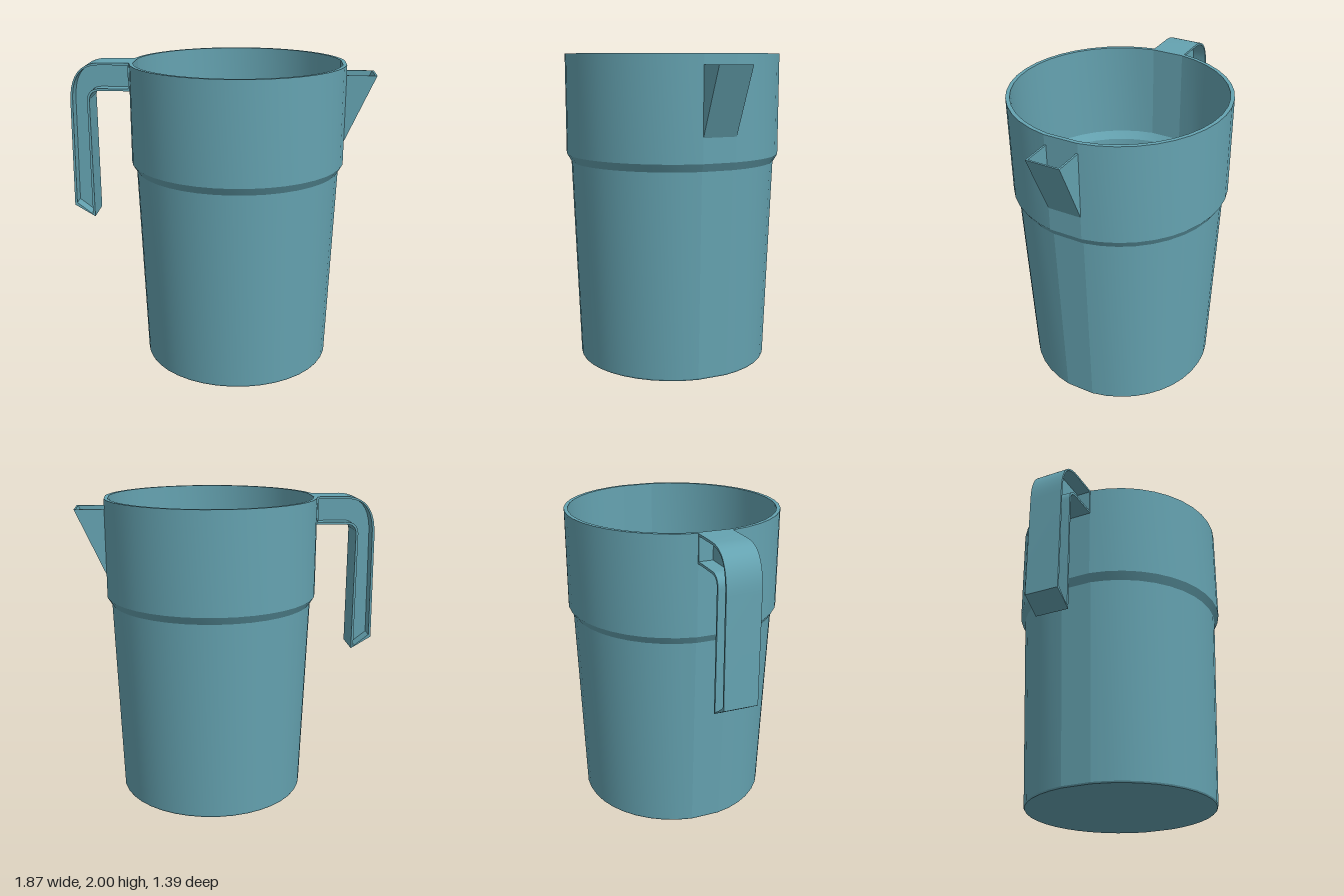
import * as THREE from 'three';
import { toCreasedNormals } from 'three/addons/utils/BufferGeometryUtils.js';

const WIDTH = 0.22; // width of handle and spout
const SEGMENTS = 40;

const teal = new THREE.MeshStandardMaterial({ color: 0x65a3b1 });
const tealThin = new THREE.MeshStandardMaterial({ color: 0x65a3b1, side: THREE.DoubleSide });
const yellow = new THREE.MeshStandardMaterial({ color: 0xd9a60f });

function add(parent, name, geometry, material) {
  const mesh = new THREE.Mesh(geometry, material);
  mesh.name = name;
  parent.add(mesh);
  return mesh;
}

// Turned body, flattened to a wide panel where the handle and spout join it
function turned(profile, crease) {
  const points = profile.map(([r, y]) => new THREE.Vector2(r, y));
  const geometry = new THREE.LatheGeometry(points, SEGMENTS);
  const p = geometry.attributes.position;
  const flat = Math.cos((2 * Math.PI) / SEGMENTS);
  for (let i = 0; i < p.count; i++) {
    if (Math.abs(p.getZ(i)) < 1e-4) p.setX(i, p.getX(i) * flat);
  }
  return toCreasedNormals(geometry, crease);
}

// Side outline of the handle, shrunk inwards by t
function handlePath(path, t) {
  path.moveTo(-0.68 - t, 2 - t);
  path.lineTo(-0.87, 2 - t);
  path.bezierCurveTo(-0.99, 2 - t, -1.073 + t, 1.93, -1.074 + t, 1.74);
  path.lineTo(-1.083 + t, 1.05 + t);
  path.lineTo(-0.95 - t, 0.97 + t);
  path.lineTo(-0.95 - t, 1.75);
  path.quadraticCurveTo(-0.95 - t, 1.82 + t, -0.88, 1.82 + t);
  path.lineTo(-0.68 - t, 1.82 + t);
  path.closePath();
  return path;
}

function extrude(shape, depth) {
  const geometry = new THREE.ExtrudeGeometry(shape, { depth, bevelEnabled: false, curveSegments: 10 });
  geometry.translate(0, 0, -depth / 2);
  return toCreasedNormals(geometry, 0.5);
}

function buildHandle() {
  const handle = new THREE.Group();
  handle.name = 'handle';
  // Full width flange around the edge, with a recessed web on both sides
  const flange = handlePath(new THREE.Shape(), 0);
  flange.holes.push(handlePath(new THREE.Path(), 0.015));
  add(handle, 'handleFlange', extrude(flange, WIDTH), teal);
  add(handle, 'handleWeb', extrude(handlePath(new THREE.Shape(), 0.008), 0.04), teal);
  return handle;
}

function buildSpout() {
  const spout = new THREE.Group();
  spout.name = 'spout';
  const root = 0.685, tip = 0.877, low = 1.51, top = 1.935, wall = 0.012;
  // Two triangular cheeks
  const cheek = new THREE.Shape();
  cheek.moveTo(root, low);
  cheek.lineTo(tip, top);
  cheek.lineTo(root, top);
  cheek.closePath();
  for (const side of [-1, 1]) {
    const mesh = add(spout, 'spoutCheek', extrude(cheek, wall), teal);
    mesh.position.z = (side * (WIDTH - wall)) / 2;
  }
  // Sloping front
  const lip = new THREE.Shape();
  lip.moveTo(root, low);
  lip.lineTo(tip, top);
  lip.lineTo(tip - wall, top);
  lip.lineTo(root, low + 0.027);
  lip.closePath();
  add(spout, 'spoutFront', extrude(lip, WIDTH), tealThin);
  return spout;
}

export function createModel() {
  const model = new THREE.Group();
  model.name = 'pitcher';

  // The pitcher's axis from handle to spout is turned away from the front
  const body = new THREE.Group();
  body.name = 'pitcherBody';
  body.position.x = 0.09;
  body.rotation.y = THREE.MathUtils.degToRad(25);
  model.add(body);

  // Hollow cup with a step below the wider rim band
  add(body, 'cup', turned([
    [0, 0], [0.615, 0], [0.62, 0.01], [0.665, 1.31], [0.695, 1.36], [0.695, 2],
    [0.67, 2], [0.67, 1.37], [0.637, 1.32], [0.595, 0.03], [0, 0.03],
  ], 0.2), teal);

  // Drink with a softly rounded edge
  add(body, 'drink', turned([
    [0.592, 0.032], [0.604, 0.39], [0.6, 0.42], [0.585, 0.44], [0.55, 0.45], [0, 0.45],
  ], 1), yellow);

  body.add(buildHandle(), buildSpout());
  return model;
}
